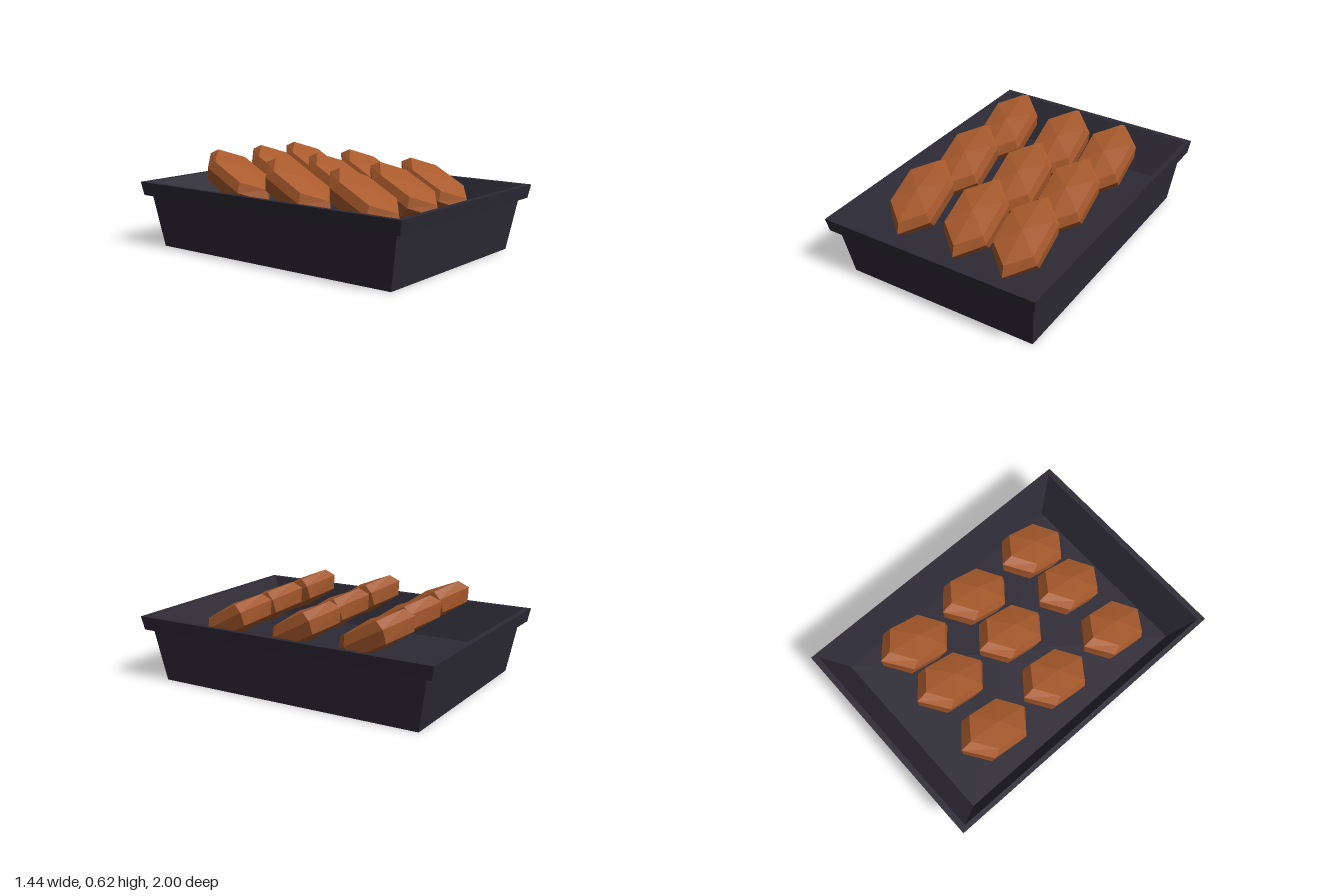
import * as THREE from 'three';

// Skin a stack of rings (each an array of [x, y, z]) with flat faces; rings run
// counter-clockwise seen from above, and a ring shrunk to a point closes the end.
function loft(rings) {
  const pos = [];
  const same = (p, q) => p.every((v, i) => Math.abs(v - q[i]) < 1e-6);
  const tri = (a, b, c) => {
    if (!same(a, b) && !same(b, c) && !same(a, c)) pos.push(...a, ...b, ...c);
  };
  for (let r = 0; r < rings.length - 1; r++) {
    const lo = rings[r], hi = rings[r + 1], n = lo.length;
    for (let i = 0; i < n; i++) {
      const j = (i + 1) % n;
      tri(lo[i], lo[j], hi[j]);
      tri(lo[i], hi[j], hi[i]);
    }
  }
  const geo = new THREE.BufferGeometry();
  geo.setAttribute('position', new THREE.Float32BufferAttribute(pos, 3));
  geo.computeVertexNormals();
  return geo;
}

// Rectangular ring with half sizes hx, hz at height y
const rectRing = ([hx, hz, y]) =>
  [[1, 1], [1, -1], [-1, -1], [-1, 1]].map(([sx, sz]) => [sx * hx, y, sz * hz]);

// Long hexagonal ring with its points along z
const hexRing = ([hx, hz, y]) =>
  Array.from({ length: 6 }, (_, i) => {
    const a = (i * Math.PI) / 3;
    return [hx * Math.sin(a) / Math.sin(Math.PI / 3), y, hz * Math.cos(a)];
  });

export function createModel() {
  const model = new THREE.Group();
  const trayMat = new THREE.MeshStandardMaterial({ color: 0x2d2a35, flatShading: true });
  const foodMat = new THREE.MeshStandardMaterial({ color: 0xa85a2c, flatShading: true });

  // Tray: tapered outside, stepped rim, sloping inside and raised floor
  const tray = new THREE.Mesh(loft([
    [0, 0, 0],
    [0.635, 0.88, 0],
    [0.675, 0.94, 0.33],
    [0.708, 0.983, 0.33],
    [0.72, 1.0, 0.415],
    [0.69, 0.963, 0.415],
    [0.60, 0.83, 0.165],
    [0, 0, 0.165],
  ].map(rectRing)), trayMat);
  tray.name = 'tray';
  model.add(tray);

  // Pieces: faceted hexagonal pillows leaning back in three rows
  const pieceGeo = loft([
    [0, 0, -0.095],
    [0.135, 0.234, -0.07],
    [0.15, 0.283, 0.01],
    [0.135, 0.234, 0.07],
    [0, 0, 0.095],
  ].map(hexRing));
  const pieces = new THREE.Group();
  pieces.name = 'pieces';
  [-0.465, 0.02, 0.51].forEach((z, row) => {
    [-0.38, 0.02, 0.36].forEach((x, col) => {
      const piece = new THREE.Mesh(pieceGeo, foodMat);
      piece.name = `piece${row * 3 + col + 1}`;
      piece.position.set(x, 0.445 - 0.01 * col - 0.015 * row, z);
      piece.rotation.x = THREE.MathUtils.degToRad(28);
      pieces.add(piece);
    });
  });
  model.add(pieces);
  return model;
}
